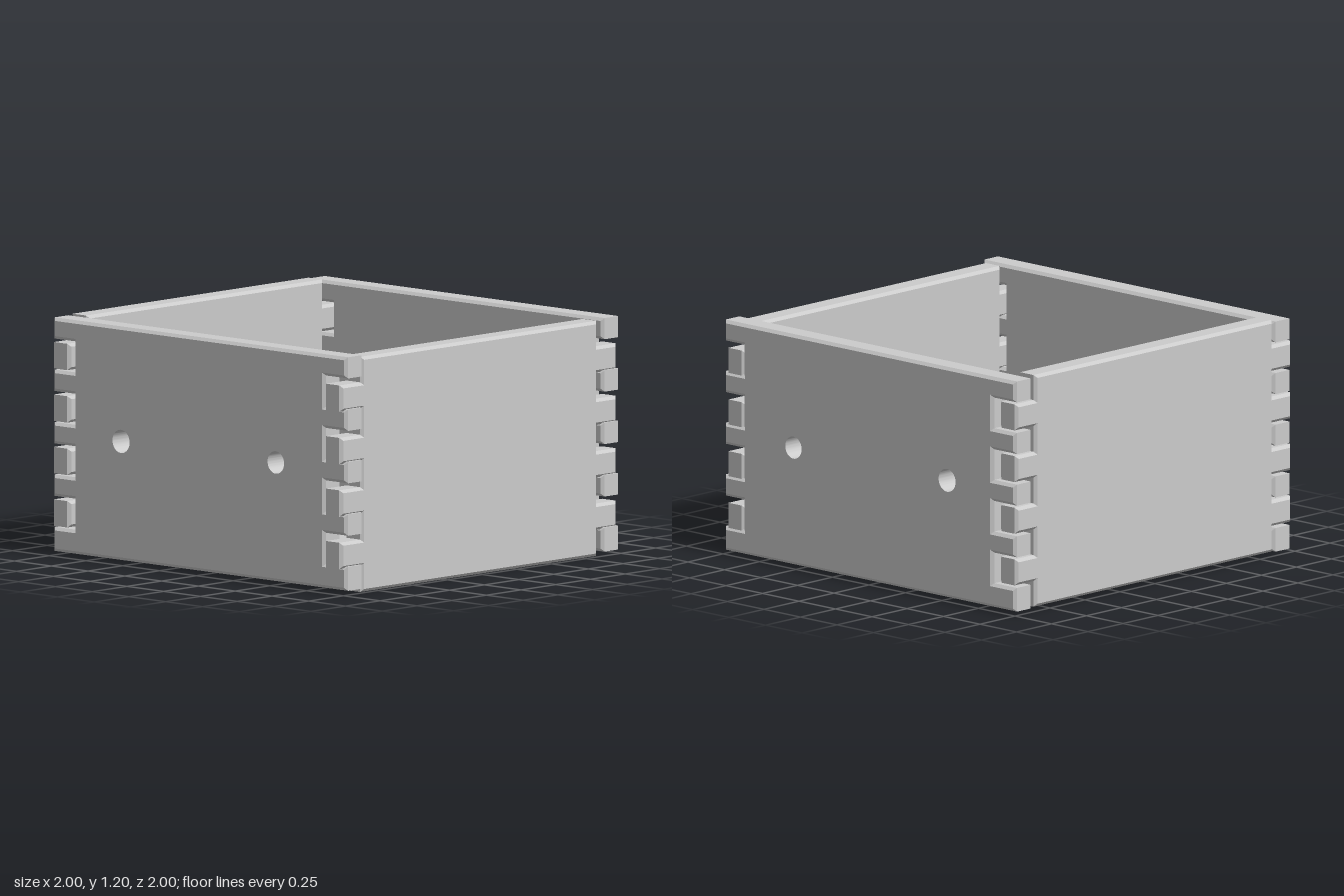
import * as THREE from 'three';
import { toCreasedNormals } from 'three/addons/utils/BufferGeometryUtils.js';

const BEVEL = 0.015;
const PITCH = 0.262; // vertical spacing of the finger joints
const material = new THREE.MeshStandardMaterial({ color: 0xcccccc });

// One jagged edge, bottom to top: fingers reach from inner to outer.
function fingerEdge(inner, outer, y0, y1, fingers) {
  const pts = [];
  if (fingers[0][0] > y0) pts.push([inner, y0]);
  for (const [a, b] of fingers) {
    if (a > y0) pts.push([inner, a]);
    pts.push([outer, a], [outer, b]);
    if (b < y1) pts.push([inner, b]);
  }
  if (fingers[fingers.length - 1][1] < y1) pts.push([inner, y1]);
  return pts;
}

// Bevelled board with fingers at both ends and optional round holes.
function boardGeometry({ inner, outer, y0, y1, fingers, thickness, holes = [] }) {
  const right = fingerEdge(inner[1], outer[1], y0, y1, fingers);
  const left = fingerEdge(inner[0], outer[0], y0, y1, fingers).reverse();
  const shape = new THREE.Shape([...right, ...left].map(([x, y]) => new THREE.Vector2(x, y)));
  for (const [x, y, r] of holes) {
    shape.holes.push(new THREE.Path().absarc(x, y, r, 0, Math.PI * 2, true));
  }
  const geometry = new THREE.ExtrudeGeometry(shape, {
    depth: thickness - 2 * BEVEL, curveSegments: 32,
    bevelEnabled: true, bevelSegments: 1,
    bevelThickness: BEVEL, bevelSize: BEVEL, bevelOffset: -BEVEL,
  });
  geometry.translate(0, 0, BEVEL);

  // Keep the bores straight: pull the bevelled rims back to the bore radius
  const p = geometry.attributes.position;
  for (let i = 0; i < p.count; i++) {
    for (const [x, y, r] of holes) {
      const dx = p.getX(i) - x, dy = p.getY(i) - y, d = Math.hypot(dx, dy);
      if (d < r + 2 * BEVEL) p.setXY(i, x + dx * r / d, y + dy * r / d);
    }
  }
  return toCreasedNormals(geometry, 0.5);
}

export function createModel() {
  const group = new THREE.Group();
  const add = (name, geometry) => {
    const mesh = new THREE.Mesh(geometry, material);
    mesh.name = name;
    group.add(mesh);
    return mesh;
  };

  // Front and back boards: five fingers per end, two bores
  const y0 = 0.02, y1 = 1.187;
  const endFingers = [];
  for (let k = 0; k < 5; k++) {
    endFingers.push([
      k === 0 ? y0 : 0.295 + (k - 1) * PITCH,
      k === 4 ? y1 : 0.14 + k * PITCH,
    ]);
  }
  const endBoard = (inner) => boardGeometry({
    inner, outer: [-1, 0.995], y0, y1, fingers: endFingers, thickness: 0.127,
    holes: [[-0.535, 0.615, 0.058], [0.517, 0.615, 0.056]],
  });
  add('frontBoard', endBoard([-0.86, 0.845])).position.z = 0.848;
  add('backBoard', endBoard([-0.845, 0.865])).position.z = -1;

  // Side boards: four fingers per end, the left one sitting slightly lower
  const sides = [
    { name: 'rightBoard', x: -0.877, lift: 0.02, outer: [-0.985, 0.985] },
    { name: 'leftBoard', x: 0.986, lift: 0, outer: [-0.99, 1] },
  ];
  for (const { name, x, lift, outer } of sides) {
    const fingers = [0, 1, 2, 3].map((k) => [0.13 + lift + k * PITCH, 0.262 + lift + k * PITCH]);
    const mesh = add(name, boardGeometry({
      inner: [-0.85, 0.85], outer, y0: lift, y1: 1.175 + lift, fingers, thickness: 0.12,
    }));
    mesh.rotation.y = -Math.PI / 2;
    mesh.position.x = x;
  }

  // Floor panel, set a little above the lower edges
  const floor = add('floorPanel', new THREE.BoxGeometry(1.76, 0.08, 1.74));
  floor.position.set(-0.006, 0.1, -0.013);

  return group;
}
